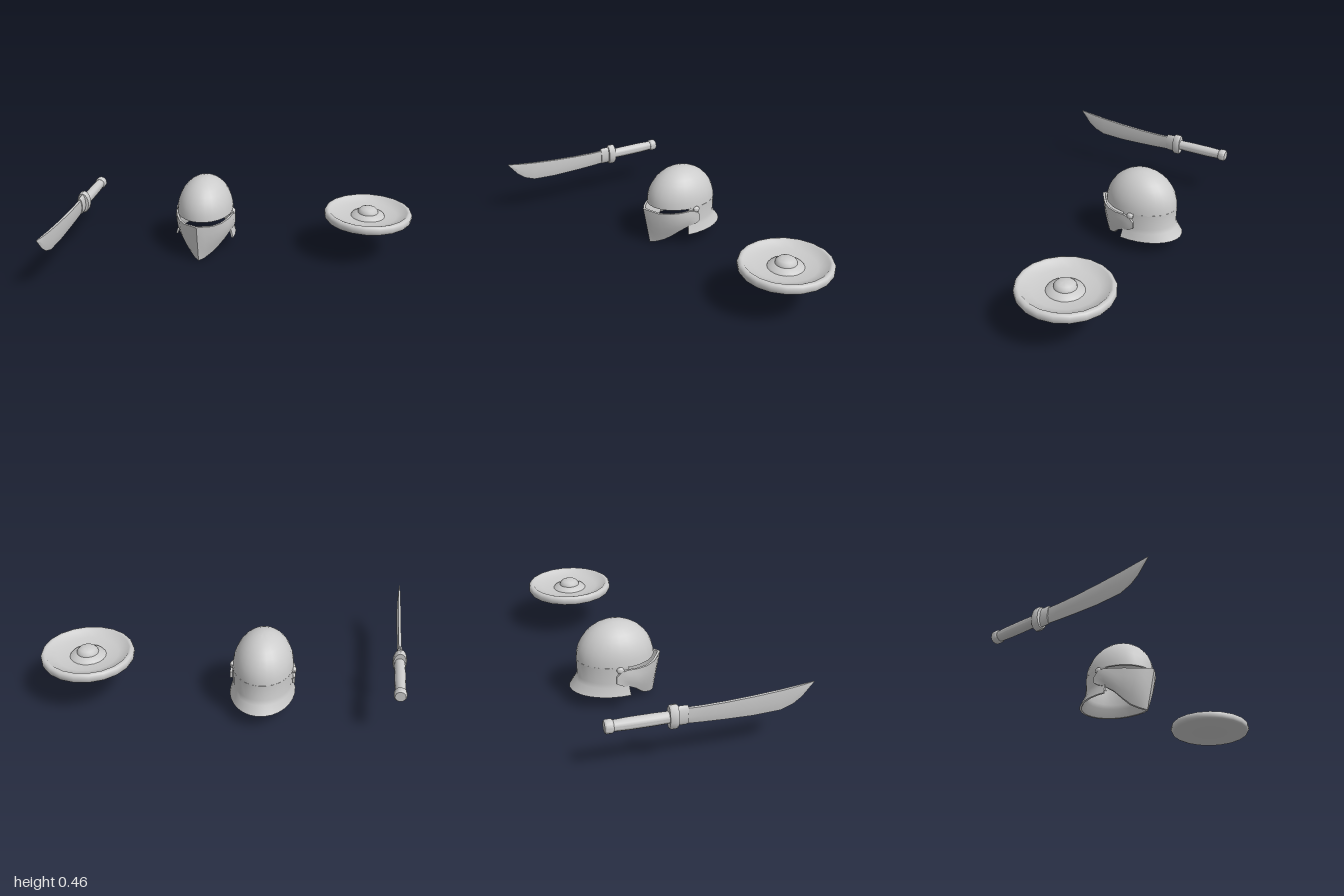
import * as THREE from 'three';
import { toCreasedNormals } from 'three/addons/utils/BufferGeometryUtils.js';

const material = new THREE.MeshStandardMaterial({ color: 0xcccccc, side: THREE.DoubleSide });

function part(parent, name, geometry, crease = 0.75) {
  const mesh = new THREE.Mesh(toCreasedNormals(geometry, crease), material);
  mesh.name = name;
  parent.add(mesh);
  return mesh;
}

// Skin a row of closed cross-sections and close both ends; each section is
// listed down one side and back up the other.
function loft(sections) {
  const n = sections[0].length, last = sections.length - 1;
  const p = sections.flat(), idx = [];
  const quad = (a, b, c, d) => idx.push(a, b, c, a, c, d);
  for (let s = 0; s < last; s++)
    for (let i = 0; i < n; i++) {
      const j = (i + 1) % n;
      quad(s * n + i, s * n + j, (s + 1) * n + j, (s + 1) * n + i);
    }
  for (let i = 0; i < n / 2 - 1; i++) {
    quad(i, n - 1 - i, n - 2 - i, i + 1);
    const e = last * n;
    quad(e + i, e + i + 1, e + n - 2 - i, e + n - 1 - i);
  }
  // Turn the faces outward if the enclosed volume is negative
  let volume = 0;
  const v = p.map((a) => new THREE.Vector3(...a));
  for (let i = 0; i < idx.length; i += 3)
    volume += v[idx[i]].dot(v[idx[i + 1]].clone().cross(v[idx[i + 2]]));
  if (volume < 0) idx.reverse();
  const g = new THREE.BufferGeometry();
  g.setAttribute('position', new THREE.Float32BufferAttribute(p.flat(), 3));
  g.setIndex(idx);
  return g;
}

const lathe = (points, segments) =>
  new THREE.LatheGeometry(points.map(([r, y]) => new THREE.Vector2(r, y)), segments);

function createHelmet() {
  const helmet = new THREE.Group();
  helmet.name = 'helmet';
  helmet.position.x = -0.23;

  // Hollow skull dome: inner curve down, rim, outer curve up
  const profile = [];
  const steps = 9;
  for (let i = 0; i <= steps; i++) {
    const a = (i / steps) * Math.PI / 2;
    profile.push([0.93 * Math.sin(a), 0.195 * Math.cos(a)]);
  }
  for (let i = steps; i >= 0; i--) {
    const a = (i / steps) * Math.PI / 2;
    profile.push([Math.sin(a), 0.21 * Math.cos(a)]);
  }
  const dome = lathe(profile, 24);
  dome.scale(0.167, 1, 0.214);
  dome.translate(0, 0.251, -0.25);
  part(helmet, 'dome', dome);

  // Neck guard round the back, flaring at the bottom: [y, half width, depth]
  const rows = [[0.255, 0.167, 0.214], [0.16, 0.164, 0.212], [0.135, 0.167, 0.222], [0.087, 0.181, 0.256]];
  const neck = [];
  for (let i = 0; i <= 16; i++) {
    const a = -0.18 + (i / 16) * (Math.PI + 0.36);
    const at = ([y, rx, rz], t) => [(rx - t) * Math.cos(a), y, -0.25 - (rz - t) * Math.sin(a)];
    neck.push([...rows.map((r) => at(r, 0)), ...[...rows].reverse().map((r) => at(r, 0.012))]);
  }
  part(helmet, 'neckGuard', loft(neck));

  // Pointed face mask: top and lower edges from the centre ridge to one side
  const top = [[0, 0.237, 0.008], [0.04, 0.234, -0.016], [0.085, 0.226, -0.05], [0.128, 0.227, -0.1],
    [0.157, 0.232, -0.16], [0.175, 0.24, -0.22], [0.179, 0.233, -0.255], [0.179, 0.205, -0.283]];
  const low = [[0, 0, -0.035], [0.03, 0.008, -0.06], [0.065, 0.028, -0.1], [0.1, 0.06, -0.13],
    [0.135, 0.1, -0.165], [0.162, 0.135, -0.215], [0.177, 0.15, -0.255], [0.179, 0.168, -0.283]];
  const section = (k, side) => {
    const outer = [], inner = [];
    for (let j = 0; j <= 4; j++) {
      const t = j / 4, bulge = 0.008 * Math.sin(Math.PI * t) * (k > 0 && k < 6 ? 1 : 0);
      const [x, y, z] = top[k].map((c, i) => c + (low[k][i] - c) * t);
      outer.push([side * (x + bulge), y, z + bulge * 0.5]);
      inner.unshift([side * x * 0.93, y, z - 0.016 * (1 - k / 7)]);
    }
    return [...outer, ...inner];
  };
  const mask = [];
  for (let k = -7; k <= 7; k++) mask.push(section(Math.abs(k), Math.sign(k)));
  part(helmet, 'faceMask', loft(mask), 0.6);

  // Hinge pins at the temples
  for (const side of [-1, 1]) {
    const pin = new THREE.SphereGeometry(0.019, 10, 8);
    pin.scale(0.75, 1, 1.1);
    pin.translate(side * 0.169, 0.241, -0.26);
    part(helmet, 'hingePin', pin);
  }
  return helmet;
}

function createShield() {
  const shield = new THREE.Group();
  shield.name = 'shield';
  shield.position.set(0.742, 0, -0.315);
  // Flat back, rounded rim, dished face
  part(shield, 'dish', lathe([[0, 0.236], [0.238, 0.236], [0.252, 0.242], [0.258, 0.254], [0.258, 0.273],
    [0.252, 0.285], [0.24, 0.29], [0.229, 0.287], [0.222, 0.279], [0.17, 0.263], [0.1, 0.255], [0, 0.255]], 20));
  // Central boss on a sloped collar
  part(shield, 'boss', lathe([[0.101, 0.254], [0.095, 0.263], [0.06, 0.276], [0.058, 0.288],
    [0.045, 0.301], [0.025, 0.308], [0, 0.31]], 20));
  return shield;
}

function createSword() {
  const sword = new THREE.Group();
  sword.name = 'sword';
  sword.position.set(-0.963, 0.28, 0);

  // Turned pieces run along z: [radius, z]
  const turned = (name, points, sx, sy) => {
    const g = lathe(points, 14);
    g.rotateX(Math.PI / 2);
    g.scale(sx, sy, 1);
    part(sword, name, g);
  };
  turned('grip', [[0, -0.44], [0.027, -0.44], [0.03, -0.36], [0.03, -0.24], [0.028, -0.15], [0, -0.15]], 1, 1.05);
  turned('pommel', [[0, -0.478], [0.028, -0.478], [0.034, -0.47], [0.034, -0.443], [0.028, -0.435], [0, -0.435]], 1, 1.05);
  turned('guard', [[0, -0.166], [0.9, -0.166], [1, -0.158], [1, -0.13], [0.9, -0.122], [0, -0.122]], 0.038, 0.066);
  turned('collar', [[0, -0.13], [1, -0.13], [1, -0.078], [0.9, -0.07], [0, -0.07]], 0.017, 0.054);

  // Curved single-edged blade: [z, edge y, spine y, half thickness]
  const stations = [[-0.1, 0.232, 0.318, 0.011], [0, 0.226, 0.316, 0.011], [0.12, 0.221, 0.319, 0.011],
    [0.26, 0.218, 0.327, 0.011], [0.405, 0.225, 0.339, 0.01], [0.47, 0.25, 0.347, 0.009],
    [0.515, 0.285, 0.353, 0.007], [0.574, 0.358, 0.362, 0.002]];
  part(sword, 'blade', loft(stations.map(([z, edge, spine, w]) => {
    const b = edge - 0.28, t = spine - 0.28, m = b + (t - b) * 0.45;
    return [[w * 0.7, t, z], [w, m, z], [0.001, b, z], [-0.001, b, z], [-w, m, z], [-w * 0.7, t, z]];
  })), 0.4);
  return sword;
}

export function createModel() {
  const model = new THREE.Group();
  model.name = 'warriorGear';
  model.add(createHelmet(), createShield(), createSword());
  return model;
}
